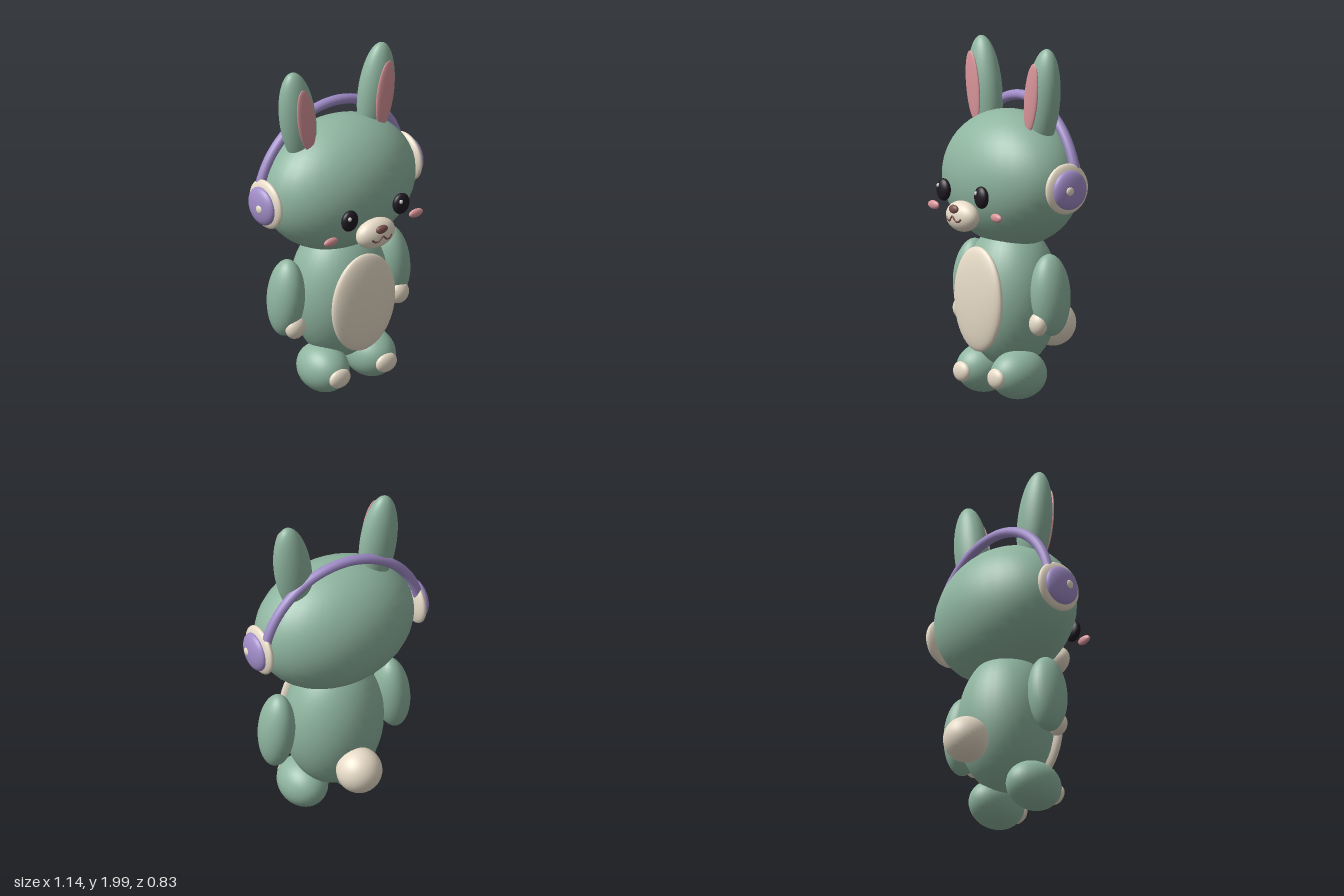
import * as THREE from 'three';

const GREEN = 0x8fb5a0, CREAM = 0xe8dcc8, PURPLE = 0xa08cc8, PINK = 0xd9959a;
const BLACK = 0x1f1a22, BROWN = 0x7d5350, WHITE = 0xffffff;

const materials = {};
const mat = (color) => (materials[color] ??= new THREE.MeshStandardMaterial({ color }));

export function createModel() {
  const model = new THREE.Group();

  const add = (name, geometry, color, [x, y, z] = [0, 0, 0], tilt = 0) => {
    const mesh = new THREE.Mesh(geometry, mat(color));
    mesh.name = name;
    mesh.position.set(x, y, z);
    mesh.rotation.z = tilt;
    model.add(mesh);
    return mesh;
  };

  // Ellipsoid with baked radii, so normals stay right
  const blob = (name, color, position, [rx, ry, rz], tilt = 0) =>
    add(name, new THREE.SphereGeometry(1, 32, 24).scale(rx, ry, rz), color, position, tilt);

  // Head, torso and tail
  blob('head', GREEN, [0, 1.235, -0.005], [0.48, 0.385, 0.335]);
  blob('body', GREEN, [0, 0.57, 0], [0.29, 0.415, 0.26]);
  blob('belly', CREAM, [0, 0.565, 0.225], [0.22, 0.297, 0.053]);
  blob('tail', CREAM, [0, 0.385, -0.29], [0.13, 0.13, 0.13]);

  // Muzzle and nose
  const muzzle = { y: 1.045, z: 0.335, r: [0.127, 0.087, 0.07] };
  blob('muzzle', CREAM, [0, muzzle.y, muzzle.z], muzzle.r);
  blob('nose', BROWN, [0, 1.09, 0.395], [0.04, 0.025, 0.018]);

  // Mouth: a small W laid on the muzzle surface
  const mouthPoints = [[-0.068, 1.043], [-0.052, 1.026], [-0.03, 1.024], [0, 1.05],
    [0.03, 1.024], [0.052, 1.026], [0.068, 1.043]].map(([x, y]) => {
    const [rx, ry, rz] = muzzle.r;
    const depth = Math.sqrt(1 - (x / rx) ** 2 - ((y - muzzle.y) / ry) ** 2);
    return new THREE.Vector3(x, y, muzzle.z + rz * depth);
  });
  add('mouth', new THREE.TubeGeometry(new THREE.CatmullRomCurve3(mouthPoints), 40, 0.006, 8), BROWN);

  // Paired parts
  for (const [side, s] of [['left', 1], ['right', -1]]) {
    // Ears lean outwards
    blob(side + 'Ear', GREEN, [s * 0.275, 1.7, -0.022], [0.11, 0.3, 0.087], -s * 0.14);
    blob(side + 'InnerEar', PINK, [s * 0.277, 1.723, 0.063], [0.06, 0.198, 0.016], -s * 0.14);

    // Face
    blob(side + 'Eye', BLACK, [s * 0.18, 1.173, 0.335], [0.055, 0.063, 0.031]);
    blob(side + 'EyeHighlight', WHITE, [s * 0.18 - 0.017, 1.197, 0.358], [0.012, 0.013, 0.011]);
    blob(side + 'Cheek', PINK, [s * 0.298, 1.07, 0.318], [0.048, 0.025, 0.017]);

    // Arms and hands
    blob(side + 'Arm', GREEN, [s * 0.37, 0.615, -0.005], [0.1, 0.23, 0.118], s * 0.08);
    blob(side + 'Hand', CREAM, [s * 0.363, 0.455, 0.075], [0.063, 0.065, 0.046]);

    // Feet and toe pads
    blob(side + 'Foot', GREEN, [s * 0.163, 0.146, 0.065], [0.136, 0.14, 0.17]);
    blob(side + 'FootPad', CREAM, [s * 0.163, 0.135, 0.222], [0.07, 0.057, 0.033]);

    // Headphone cup: cushion, shell and button
    blob(side + 'EarCushion', CREAM, [s * 0.491, 1.228, -0.028], [0.04, 0.144, 0.144]);
    blob(side + 'EarCup', PURPLE, [s * 0.52, 1.225, -0.028], [0.044, 0.112, 0.112]);
    blob(side + 'CupButton', CREAM, [s * 0.559, 1.225, -0.003], [0.012, 0.025, 0.025]);
  }

  // Headband arch, its ends buried in the cups
  const start = 0.1;
  add('headband', new THREE.TorusGeometry(0.5, 0.029, 14, 56, Math.PI - 2 * start)
    .rotateZ(start), PURPLE, [0, 1.19, -0.093]);

  return model;
}
